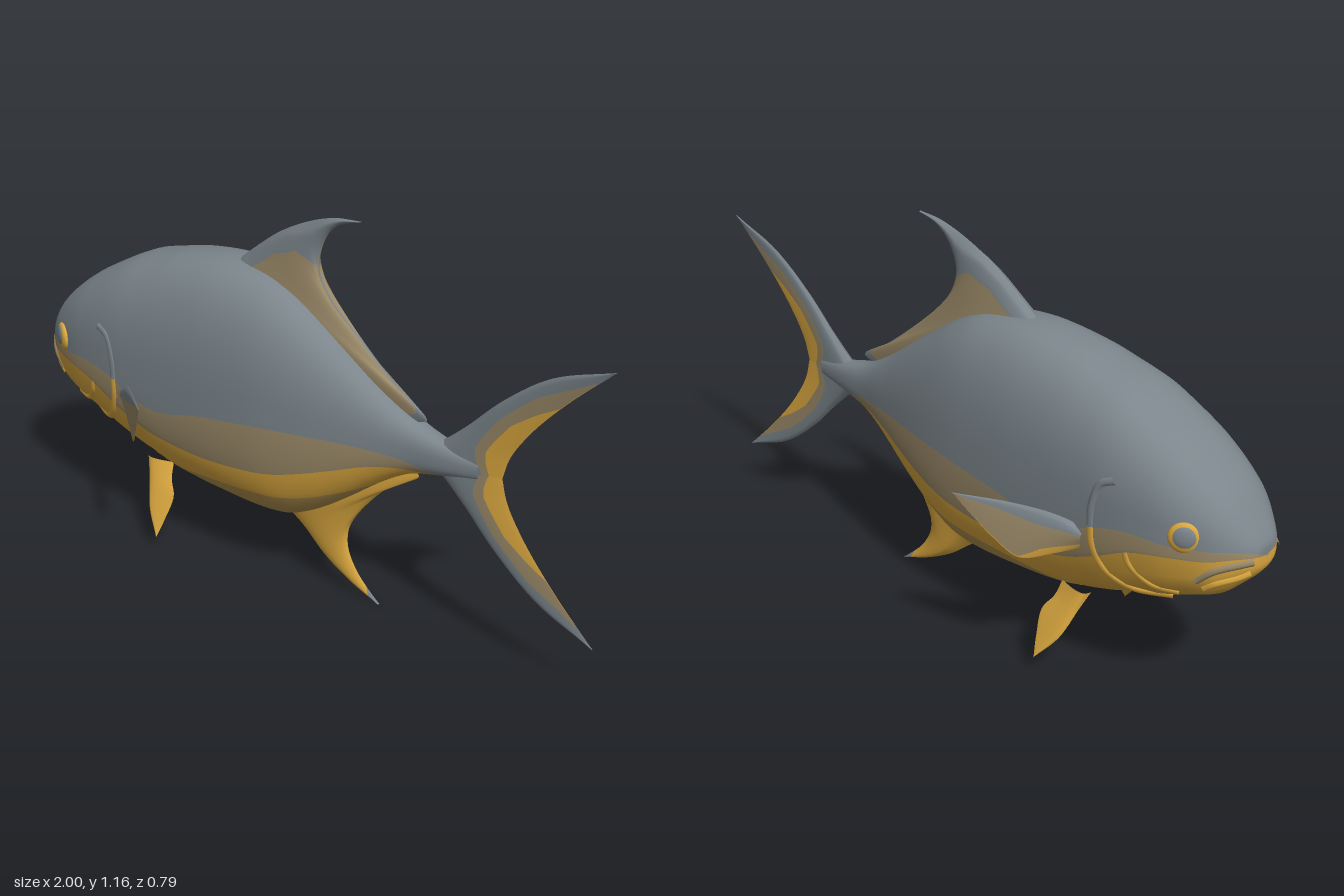
import * as THREE from 'three';

const mat = (name, color) => {
  const m = new THREE.MeshStandardMaterial({ color });
  m.name = name;
  return m;
};
const grey = mat('slate grey', 0x7b858b);
const tan = mat('tan', 0x9a8968);
const gold = mat('gold', 0xdba83f);
const mustard = mat('belly mustard', 0xb0904e);

// Body stations: x, top, bottom, half width, then the lower borders of grey, tan and gold
const stations = [
  [-1.0, 0.53, 0.53, 0.0, 0.53, 0.53, 0.4],
  [-0.995, 0.57, 0.49, 0.05, 0.55, 0.54, 0.4],
  [-0.96, 0.625, 0.445, 0.095, 0.56, 0.54, 0.38],
  [-0.9, 0.7, 0.392, 0.14, 0.56, 0.53, 0.35],
  [-0.8, 0.78, 0.35, 0.175, 0.555, 0.52, 0.3],
  [-0.7, 0.84, 0.317, 0.192, 0.56, 0.5, 0.27],
  [-0.6, 0.89, 0.28, 0.2, 0.54, 0.45, 0.25],
  [-0.5, 0.92, 0.25, 0.2, 0.495, 0.405, 0.25],
  [-0.4, 0.945, 0.225, 0.197, 0.48, 0.38, 0.27],
  [-0.25, 0.963, 0.21, 0.19, 0.515, 0.37, 0.29],
  [-0.1, 0.95, 0.205, 0.177, 0.535, 0.38, 0.3],
  [0.0, 0.915, 0.218, 0.163, 0.545, 0.395, 0.31],
  [0.1, 0.852, 0.27, 0.142, 0.55, 0.425, 0.335],
  [0.2, 0.78, 0.342, 0.115, 0.553, 0.46, 0.375],
  [0.3, 0.705, 0.42, 0.085, 0.55, 0.495, 0.42],
  [0.4, 0.645, 0.482, 0.056, 0.54, 0.51, 0.46],
  [0.5, 0.615, 0.51, 0.038, 0.52, 0.508, 0.49],
  [0.62, 0.59, 0.535, 0.016, 0.53, 0.52, 0.51],
];
const spline = (cols) => new THREE.CatmullRomCurve3(
  stations.map((s) => new THREE.Vector3(...cols.map((c) => s[c]))), false, 'catmullrom', 0.5);
const shapeCurve = spline([1, 2, 3]);
const bandCurve = spline([4, 5, 6]);
const lengthCurve = spline([0, 0, 0]);
const ROUND = 0.8; // below 1 gives slightly boxy cross-sections

function station(t) {
  const s = shapeCurve.getPoint(t), b = bandCurve.getPoint(t);
  const mid = (s.x + s.y) / 2, h = Math.max((s.x - s.y) / 2, 1e-5);
  const angle = (y) => {
    const k = THREE.MathUtils.clamp((y - mid) / h, -1, 1);
    return Math.acos(Math.sign(k) * Math.abs(k) ** (1 / ROUND));
  };
  const x = Math.max(lengthCurve.getPoint(t).x, -1);
  return { x, mid, h, w: Math.max(s.z, 0), angle, borders: [b.x, b.y, b.z].map(angle) };
}

// Half width of the body at (x, y), for placing details on the skin
function skinZ(x, y) {
  let lo = 0, hi = 1;
  for (let i = 0; i < 30; i++) {
    const m = (lo + hi) / 2;
    if (lengthCurve.getPoint(m).x < x) lo = m; else hi = m;
  }
  const s = station(lo);
  return s.w * Math.sin(s.angle(y)) ** ROUND;
}

// Geometry with one group of triangles per material
function grouped(positions, lists) {
  const g = new THREE.BufferGeometry();
  g.setAttribute('position', new THREE.Float32BufferAttribute(positions, 3));
  g.setIndex(lists.flat());
  let start = 0;
  lists.forEach((l, i) => { g.addGroup(start, l.length, i); start += l.length; });
  g.computeVertexNormals();
  return g;
}

function makeBody() {
  const rows = [12, 5, 5, 6], half = 28, ring = half * 2, N = 110;
  const bandOf = rows.flatMap((n, b) => Array(n).fill(b));
  const pos = [], lists = [[], [], [], []];
  for (let i = 0; i <= N; i++) {
    const s = station((i / N) ** 1.15);
    const stops = [0, ...s.borders, Math.PI], angles = [];
    for (let b = 1; b < 4; b++) stops[b] = Math.max(stops[b], stops[b - 1]);
    rows.forEach((n, b) => {
      for (let k = 0; k < n; k++) angles.push(stops[b] + (stops[b + 1] - stops[b]) * k / n);
    });
    angles.push(Math.PI);
    for (let j = 0; j < ring; j++) {
      const a = angles[j <= half ? j : ring - j], c = Math.cos(a);
      const z = s.w * Math.max(Math.sin(a), 0) ** ROUND;
      pos.push(s.x, s.mid + s.h * Math.sign(c) * Math.abs(c) ** ROUND, j <= half ? z : -z);
    }
  }
  for (let i = 0; i < N; i++) for (let j = 0; j < ring; j++) {
    const list = lists[bandOf[j < half ? j : ring - 1 - j]];
    const a = i * ring + j, b = i * ring + (j + 1) % ring;
    list.push(a, b, a + ring, b, b + ring, a + ring);
  }
  return new THREE.Mesh(grouped(pos, lists), [grey, tan, gold, mustard]);
}

// Piecewise linear value through [u, value] pairs
function ramp(u, pts) {
  const i = Math.max(1, pts.findIndex((p) => p[0] >= u));
  return THREE.MathUtils.mapLinear(u, pts[i - 1][0], pts[i][0], pts[i - 1][1], pts[i][1]);
}

// Lens-shaped fin between a leading and a trailing edge, both root to tip
function makeFin(name, { lead, trail, thick, mats, bands, tip = 2, centre = () => 0 }) {
  const curve = (pts) => new THREE.CatmullRomCurve3(
    pts.map(([x, y]) => new THREE.Vector3(x, y, 0)), false, 'centripetal');
  const L = curve(lead), T = curve(trail), U = 40, n = 6, V = n * 3;
  const pos = [], lists = [[], [], [], []];
  const d = L.getPoint(0.4).sub(L.getPoint(0)), e = T.getPoint(0.2).sub(L.getPoint(0.2));
  const flip = d.x * e.y - d.y * e.x < 0;
  for (const face of [1, -1]) {
    const base = pos.length / 3;
    for (let i = 0; i <= U; i++) {
      const u = i / U, p = L.getPoint(u), q = T.getPoint(u);
      const stops = [0, ...bands(u), 1];
      for (let j = 0; j <= V; j++) {
        const b = Math.min(Math.floor(j / n), 2);
        const v = stops[b] + (stops[b + 1] - stops[b]) * (j - b * n) / n;
        const c = p.clone().lerp(q, v);
        const t = thick * (1 - 0.92 * u ** 0.8) * Math.max(Math.sin(Math.PI * v ** 0.5), 0) ** 0.8;
        pos.push(c.x, c.y, centre(c.x, c.y) + face * t);
      }
    }
    for (let i = 0; i < U; i++) for (let j = 0; j < V; j++) {
      const a = base + i * (V + 1) + j, b = a + 1, c = a + V + 1, e2 = c + 1;
      const list = lists[i / U >= tip ? 3 : Math.floor(j / n)];
      if ((face > 0) !== flip) list.push(a, c, b, b, c, e2);
      else list.push(a, b, c, b, e2, c);
    }
  }
  const mesh = new THREE.Mesh(grouped(pos, lists), [...mats, grey]);
  mesh.name = name;
  return mesh;
}

// Low ridge half sunk in the skin on one side
function ridge(name, pts, side, radius, material) {
  const path = new THREE.CatmullRomCurve3(
    pts.map(([x, y]) => new THREE.Vector3(x, y, side * (skinZ(x, y) - radius * 0.7))));
  const mesh = new THREE.Mesh(new THREE.TubeGeometry(path, 28, radius, 8), material);
  mesh.name = name;
  return mesh;
}

function ball(name, x, y, side, r, depth, lift, material) {
  const mesh = new THREE.Mesh(new THREE.SphereGeometry(r, 24, 16), material);
  mesh.name = name;
  mesh.scale.z = depth;
  mesh.position.set(x, y, side * (skinZ(x, y) + lift));
  mesh.rotation.y = -side * 0.5;
  return mesh;
}

export function createModel() {
  const fish = new THREE.Group();
  fish.name = 'fish';
  const body = makeBody();
  body.name = 'body';
  fish.add(body);

  // Fins on the centre line
  fish.add(makeFin('dorsalFin', {
    lead: [[-0.25, 0.945], [-0.17, 1.01], [-0.08, 1.075], [0.03, 1.13], [0.12, 1.158], [0.2, 1.165]],
    trail: [[0.4, 0.635], [0.44, 0.655], [0.34, 0.72], [0.22, 0.815], [0.11, 0.905], [0.058, 0.985], [0.075, 1.08], [0.12, 1.135], [0.2, 1.165]],
    thick: 0.05, mats: [grey, tan, grey],
    bands: (u) => [ramp(u, [[0, 0.05], [0.3, 0.1], [0.45, 0.22], [0.64, 0.88], [1, 0.9]]), 0.95],
  }));
  fish.add(makeFin('analFin', {
    lead: [[-0.1, 0.225], [0, 0.165], [0.09, 0.095], [0.19, 0.04], [0.29, 0.002]],
    trail: [[0.37, 0.5], [0.42, 0.475], [0.33, 0.415], [0.24, 0.32], [0.18, 0.235], [0.17, 0.16], [0.205, 0.085], [0.29, 0.002]],
    thick: 0.045, mats: [gold, gold, gold], bands: () => [0.33, 0.67], tip: 0.92,
  }));
  for (const s of [1, -1]) {
    const flipY = (pts) => pts.map(([x, y]) => [x, 0.5625 + s * (y - 0.5625)]);
    fish.add(makeFin(s > 0 ? 'upperTailLobe' : 'lowerTailLobe', {
      lead: flipY([[0.42, 0.5625], [0.5, 0.618], [0.57, 0.68], [0.68, 0.79], [0.82, 0.895], [1, 0.965]]),
      trail: flipY([[0.69, 0.5625], [0.71, 0.63], [0.77, 0.725], [0.87, 0.84], [1, 0.965]]),
      thick: 0.024, mats: [grey, tan, gold],
      bands: (u) => [
        ramp(u, [[0, 0.78], [0.25, 0.47], [0.5, 0.33], [0.7, 0.4], [0.9, 0.85], [1, 0.9]]),
        ramp(u, [[0, 0.86], [0.25, 0.64], [0.5, 0.6], [0.62, 0.78], [0.7, 0.98], [1, 0.99]])],
      tip: 0.9,
    }));
  }

  // Paired fins and head details
  for (const side of [1, -1]) {
    const pre = side > 0 ? 'left' : 'right';
    fish.add(makeFin(pre + 'PectoralFin', {
      lead: [[-0.56, 0.51], [-0.5, 0.55], [-0.4, 0.582], [-0.275, 0.603]],
      trail: [[-0.55, 0.455], [-0.49, 0.432], [-0.42, 0.415], [-0.365, 0.47], [-0.32, 0.535], [-0.275, 0.603]],
      thick: 0.02, mats: [grey, tan, gold],
      bands: (u) => [0.25, ramp(u, [[0, 0.75], [0.3, 0.78], [0.42, 0.98], [1, 0.98]])],
      centre: (x) => side * (0.18 + (x + 0.56) * 0.74),
    }));
    fish.add(makeFin(pre + 'PelvicFin', {
      lead: [[-0.53, 0.27], [-0.51, 0.22], [-0.475, 0.13], [-0.415, 0.056]],
      trail: [[-0.43, 0.27], [-0.42, 0.225], [-0.393, 0.18], [-0.402, 0.11], [-0.415, 0.056]],
      thick: 0.022, mats: [gold, gold, gold], bands: () => [0.33, 0.67],
      centre: (x, y) => side * (0.113 + (0.26 - y) * 0.48),
    }));
    fish.add(ball(pre + 'Eye', -0.85, 0.588, side, 0.044, 0.35, -0.005, gold));
    fish.add(ball(pre + 'Pupil', -0.853, 0.591, side, 0.034, 0.35, 0.001, grey));
    fish.add(ridge(pre + 'GillEdgeUpper', [[-0.65, 0.69], [-0.61, 0.67], [-0.587, 0.6], [-0.585, 0.54]], side, 0.015, grey));
    fish.add(ridge(pre + 'GillEdgeLower', [[-0.585, 0.54], [-0.59, 0.48], [-0.62, 0.41], [-0.68, 0.365], [-0.78, 0.36]], side, 0.015, gold));
    fish.add(ridge(pre + 'Cheek', [[-0.69, 0.5], [-0.7, 0.46], [-0.75, 0.41], [-0.82, 0.4]], side, 0.012, gold));
    fish.add(ridge(pre + 'UpperLip', [[-0.99, 0.53], [-0.97, 0.525], [-0.92, 0.505], [-0.875, 0.465]], side, 0.013, tan));
    fish.add(ridge(pre + 'LowerLip', [[-0.985, 0.495], [-0.96, 0.48], [-0.92, 0.462], [-0.89, 0.44]], side, 0.013, gold));
  }
  return fish;
}
